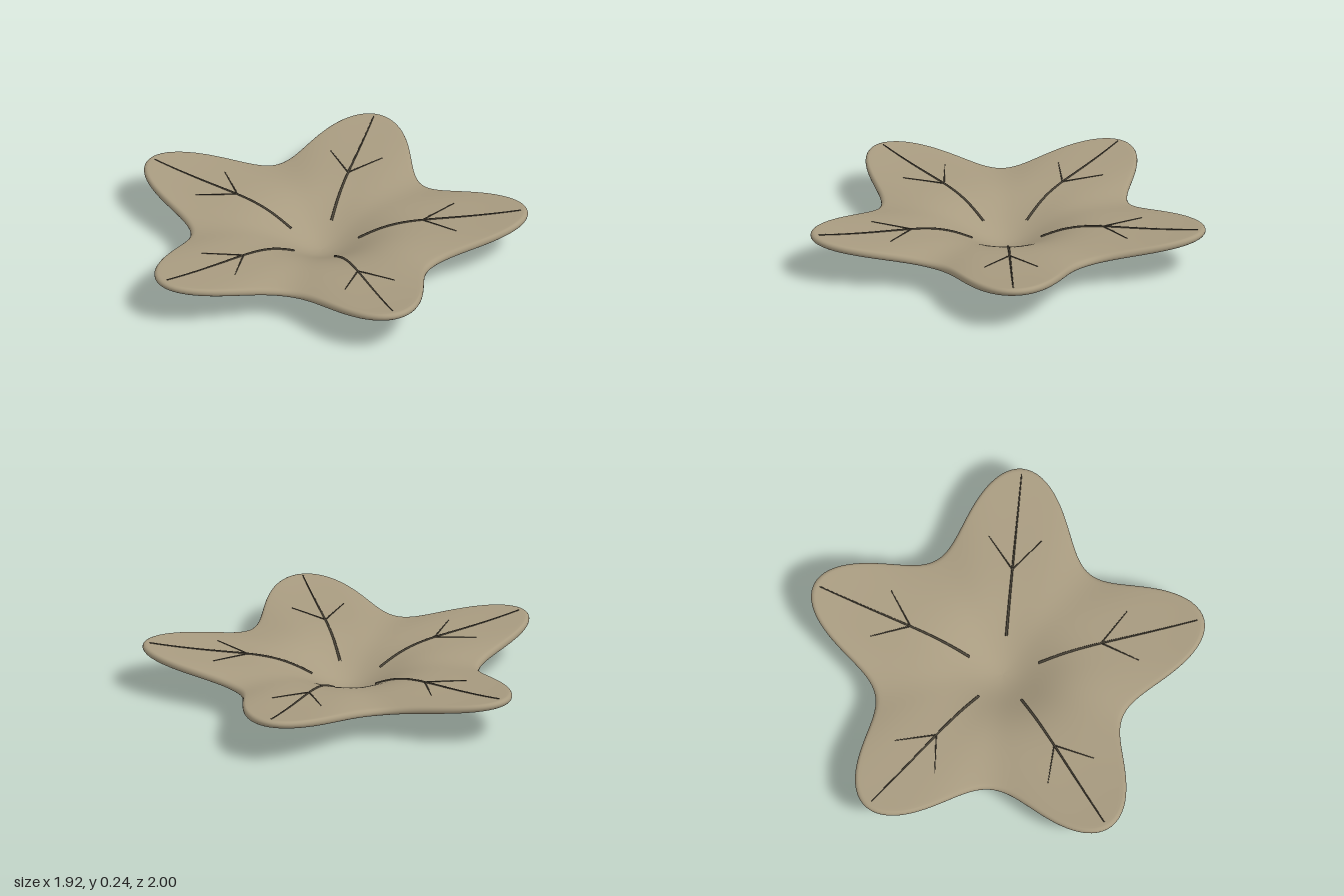
import * as THREE from 'three';

const LOBES = 5, THICK = 0.04, EDGE = 0.025;

// Outline radius of the five-lobed leaf at angle a
const outline = a => 0.8375 + 0.19 * Math.cos(LOBES * a) + 0.0175 * Math.cos(2 * LOBES * a);

// Height of the underside: a central bowl, lobes curling up, notches dipping
function height(r, a) {
  const t = r / outline(a);
  return 0.155 * (1 - Math.exp(-((r / 0.26) ** 2))) + t ** 3 * (0.015 + 0.035 * Math.cos(LOBES * a));
}

// Closed blade: underside outwards, round the rim, then back over the top
function bladeGeometry() {
  const profile = [], around = 240, rings = 36, rimSteps = 8;
  for (let i = 0; i < rings; i++) profile.push([i / rings, 0, 0]);
  for (let i = 0; i <= rimSteps; i++) {
    const p = -Math.PI / 2 + Math.PI * i / rimSteps;
    profile.push([1, EDGE * Math.cos(p), THICK / 2 * (1 + Math.sin(p))]);
  }
  for (let i = rings - 1; i >= 0; i--) profile.push([i / rings, 0, THICK]);

  const positions = [], index = [], n = profile.length;
  for (let i = 0; i < around; i++) {
    const a = i / around * Math.PI * 2;
    for (const [t, out, lift] of profile) {
      const r = t * (outline(a) - EDGE) + out;
      positions.push(r * Math.cos(a), height(r, a) + lift, r * Math.sin(a));
    }
    for (let j = 0; j < n - 1; j++) {
      const p = i * n + j, q = ((i + 1) % around) * n + j;
      index.push(p, p + 1, q, p + 1, q + 1, q);
    }
  }
  const g = new THREE.BufferGeometry();
  g.setAttribute('position', new THREE.Float32BufferAttribute(positions, 3));
  g.setIndex(index);
  g.computeVertexNormals();
  return g;
}

// Tapered vein lying on the top surface of the lobe along +x
function veinGeometry(from, to, r0, r1) {
  const points = [], segments = 28, sides = 6;
  for (let i = 0; i <= 14; i++) {
    const x = THREE.MathUtils.lerp(from[0], to[0], i / 14);
    const z = THREE.MathUtils.lerp(from[1], to[1], i / 14);
    const y = height(Math.hypot(x, z), Math.atan2(z, x)) + THICK;
    points.push(new THREE.Vector3(x, y + 0.001, z));
  }
  const curve = new THREE.CatmullRomCurve3(points);
  const g = new THREE.TubeGeometry(curve, segments, r0, sides);
  const pos = g.attributes.position, v = new THREE.Vector3();
  for (let i = 0; i < pos.count; i++) {
    const u = Math.floor(i / (sides + 1)) / segments;
    const c = curve.getPointAt(u);
    v.fromBufferAttribute(pos, i).sub(c).multiplyScalar(THREE.MathUtils.lerp(1, r1 / r0, u)).add(c);
    pos.setXYZ(i, v.x, v.y, v.z);
  }
  return g;
}

export function createModel() {
  const model = new THREE.Group();
  model.name = 'leaf';
  model.position.x = -0.09;

  const bladeMaterial = new THREE.MeshStandardMaterial({ color: 0xa89b80 });
  const veinMaterial = new THREE.MeshStandardMaterial({ color: 0x4a4438, side: THREE.DoubleSide });

  const blade = new THREE.Mesh(bladeGeometry(), bladeMaterial);
  blade.name = 'blade';
  model.add(blade);

  // One midrib and a pair of side veins per lobe
  const parts = [
    ['midrib', veinGeometry([0.185, 0], [1.01, 0], 0.007, 0.003)],
    ['leftSideVein', veinGeometry([0.51, 0], [0.675, 0.135], 0.004, 0.002)],
    ['rightSideVein', veinGeometry([0.51, 0], [0.675, -0.135], 0.004, 0.002)],
  ];
  for (let i = 0; i < LOBES; i++) {
    const veins = new THREE.Group();
    veins.name = 'lobeVeins';
    veins.rotation.y = i / LOBES * Math.PI * 2;
    for (const [name, geometry] of parts) {
      const vein = new THREE.Mesh(geometry, veinMaterial);
      vein.name = name;
      veins.add(vein);
    }
    model.add(veins);
  }

  const root = new THREE.Group();
  root.add(model);
  return root;
}
